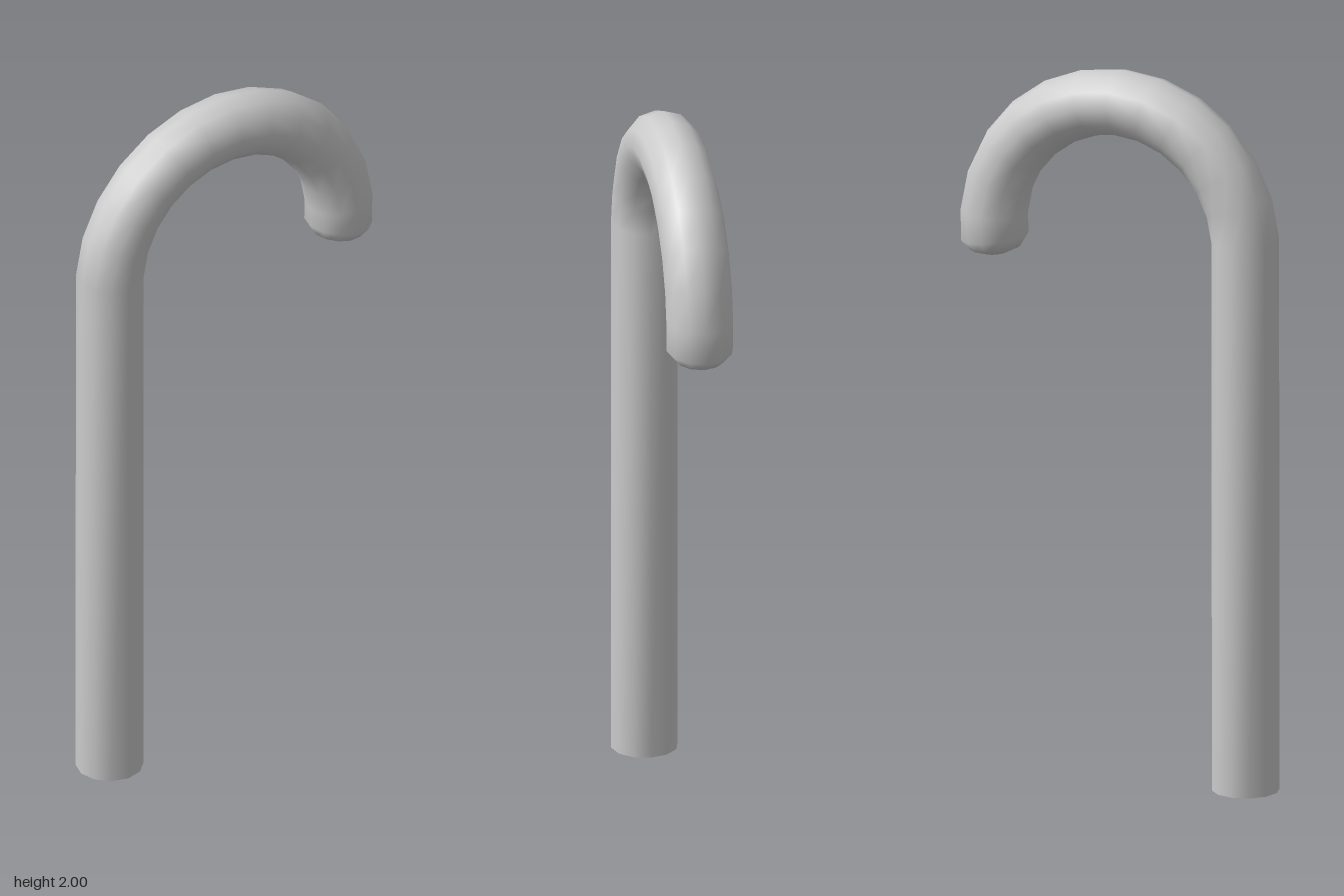
import * as THREE from 'three';

const SIDES = 12;
const TUBE = 0.093;   // cane thickness (radius)
const BEND = 0.377;   // radius of the crook's centre line
const BEND_Y = 1.53;  // height of the crook's centre

// One cross-section: angle along the crook (0 = shaft side), tube radius, shift along the path
function ring(degrees, radius, shift = 0) {
  const a = THREE.MathUtils.degToRad(degrees);
  const out = new THREE.Vector3(-Math.cos(a), Math.sin(a), 0);
  const along = new THREE.Vector3(Math.sin(a), Math.cos(a), 0);
  const centre = out.clone().multiplyScalar(BEND).addScaledVector(along, shift);
  centre.y += BEND_Y;
  return { centre, out, radius };
}

// Skin a list of cross-sections with smooth normals
function loft(rings) {
  const positions = [], index = [];
  for (const { centre, out, radius } of rings) {
    for (let j = 0; j < SIDES; j++) {
      const t = (j / SIDES) * Math.PI * 2;
      const p = centre.clone().addScaledVector(out, Math.cos(t) * radius);
      positions.push(p.x, p.y, Math.sin(t) * radius);
    }
  }
  for (let i = 0; i < rings.length - 1; i++) {
    for (let j = 0; j < SIDES; j++) {
      const k = (j + 1) % SIDES;
      const a = i * SIDES + j, b = i * SIDES + k;
      const c = b + SIDES, d = a + SIDES;
      index.push(a, b, c, a, c, d);
    }
  }
  // close the last ring
  const last = (rings.length - 1) * SIDES;
  for (let j = 1; j < SIDES - 1; j++) index.push(last, last + j, last + j + 1);
  const geometry = new THREE.BufferGeometry();
  geometry.setAttribute('position', new THREE.Float32BufferAttribute(positions, 3));
  geometry.setIndex(index);
  geometry.computeVertexNormals();
  return geometry;
}

export function createModel() {
  const group = new THREE.Group();
  group.name = 'hookedCane';
  const material = new THREE.MeshStandardMaterial({ color: 0xcccccc });

  // Straight shaft, crook and shallow rounded tip in one continuous skin
  const rings = [ring(0, TUBE, -BEND_Y)];
  for (let i = 0; i <= 12; i++) rings.push(ring(4 + i * 14.33, TUBE));
  const end = 187;
  rings.push(ring(end, TUBE), ring(end, 0.07, 0.03), ring(end, 0.03, 0.045));
  const cane = new THREE.Mesh(loft(rings), material);
  cane.name = 'shaftAndCrook';
  group.add(cane);

  // Flat foot under the shaft
  const foot = new THREE.Mesh(new THREE.CircleGeometry(TUBE, SIDES), material);
  foot.name = 'foot';
  foot.rotation.x = Math.PI / 2;
  foot.position.x = -BEND;
  group.add(foot);

  return group;
}
